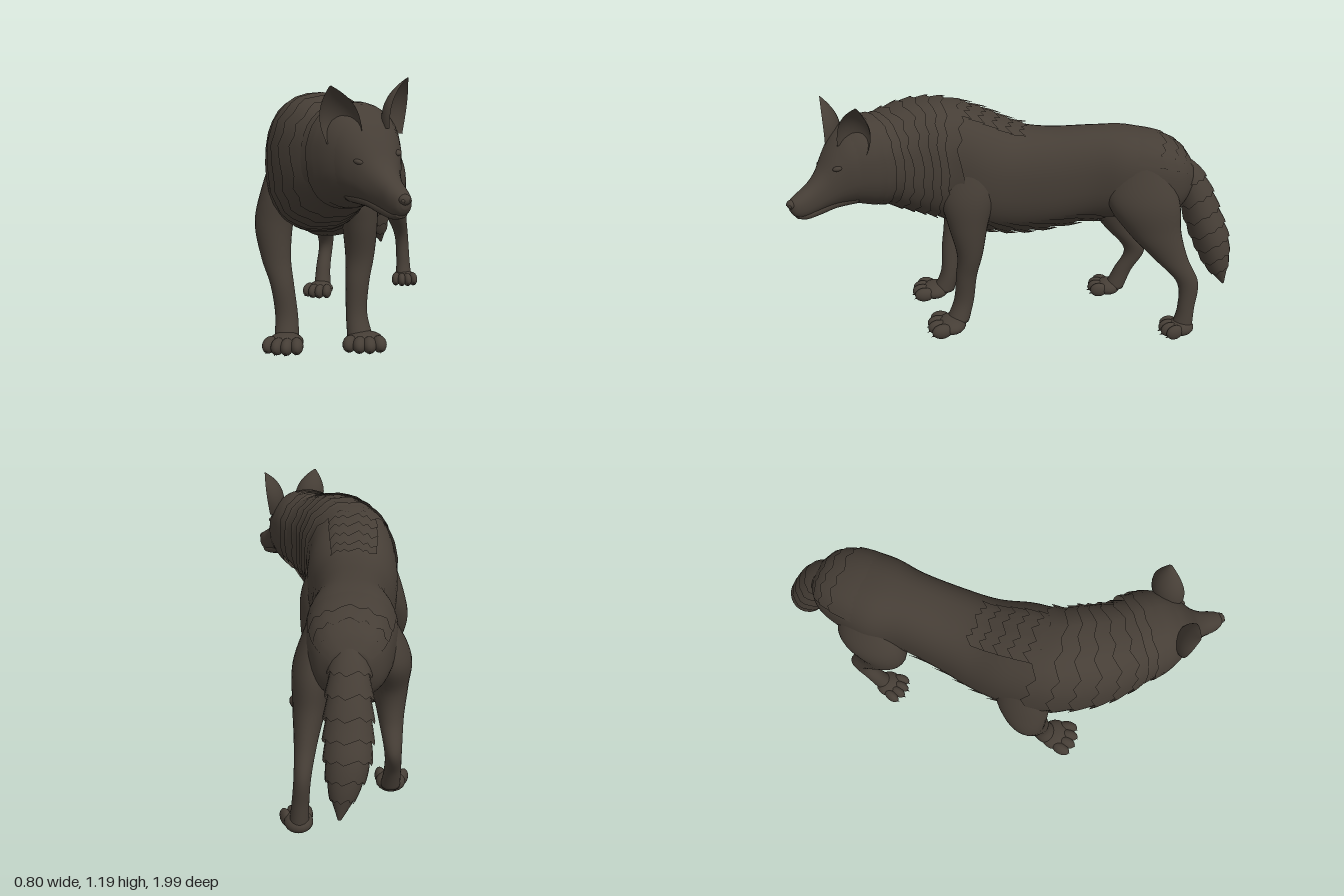
import * as THREE from 'three';

const fur = new THREE.MeshStandardMaterial({ color: 0x463e36, side: THREE.DoubleSide });
fur.name = 'dark brown fur';

function mesh(name, geometry, parent) {
  const m = new THREE.Mesh(geometry, fur);
  m.name = name;
  parent.add(m);
  return m;
}

// Smooth sampler over cross-sections [x, y, z, halfWidth, halfHeight, yaw, pitch]
function sampler(rows, square = 1) {
  const curve = f => new THREE.CatmullRomCurve3(rows.map(r => new THREE.Vector3(...f(r))), false, 'catmullrom', 0.5);
  const pos = curve(r => [r[0], r[1], r[2]]);
  const size = curve(r => [r[3], r[4], 0]);
  const turn = curve(r => [r[5] || 0, r[6] || 0, 0]);
  const bend = v => Math.sign(v) * Math.abs(v) ** square;
  return (t, a, scale = 1) => {
    t = Math.min(1, Math.max(0, t));
    const p = pos.getPoint(t), s = size.getPoint(t), { x: yaw, y: pitch } = turn.getPoint(t);
    const across = new THREE.Vector3(Math.cos(yaw), 0, -Math.sin(yaw));
    const up = new THREE.Vector3(Math.sin(yaw) * Math.sin(pitch), Math.cos(pitch), Math.cos(yaw) * Math.sin(pitch));
    return p.addScaledVector(across, s.x * scale * bend(Math.cos(a)))
      .addScaledVector(up, s.y * scale * bend(Math.sin(a)));
  };
}

// Grid surface from point(k, u); wrap joins the two sides, caps close the ends
function surface(point, steps, seg, wrap, caps) {
  const pos = [], index = [], n = wrap ? seg : seg + 1;
  for (let i = 0; i <= steps; i++)
    for (let j = 0; j < n; j++) pos.push(...point(i / steps, j / seg, j).toArray());
  for (let i = 0; i < steps; i++)
    for (let j = 0; j < seg; j++) {
      const a = i * n + j, b = i * n + (j + 1) % n;
      index.push(a, b, a + n, b, b + n, a + n);
    }
  if (caps) for (const end of [0, steps]) {
    const c = new THREE.Vector3(), id = pos.length / 3;
    for (let j = 0; j < n; j++) c.add(new THREE.Vector3().fromArray(pos, (end * n + j) * 3));
    pos.push(...c.divideScalar(n).toArray());
    for (let j = 0; j < n; j++) {
      const a = end * n + j, b = end * n + (j + 1) % n;
      index.push(id, end ? a : b, end ? b : a);
    }
  }
  const g = new THREE.BufferGeometry();
  g.setAttribute('position', new THREE.Float32BufferAttribute(pos, 3));
  g.setIndex(index);
  g.computeVertexNormals();
  return g;
}

const solid = (at, steps = 40, seg = 28) =>
  surface((k, u) => at(k, u * Math.PI * 2), steps, seg, true, true);

// Layer of fur: tucked in at t0, raised with a ragged edge at t1
function furLayer(at, t0, t1, lift, jag, seg = 32, a0 = 0, a1 = Math.PI * 2) {
  const back = t1 < t0, whole = a1 - a0 > 6.2;
  return surface((k, u, j) => {
    if (back) k = 1 - k;
    const rag = jag * k * (((j * 7) % 5) / 4 - 0.5);
    return at(t0 + (t1 - t0) * k + rag, a0 + (a1 - a0) * u, 0.985 + lift * k);
  }, 4, seg, whole, false);
}

function ball(name, parent, p, s) {
  const m = mesh(name, new THREE.SphereGeometry(1, 18, 12), parent);
  m.position.set(...p);
  m.scale.set(...s);
  return m;
}

function buildPaw(parent, name, x, z, w, len, yaw, y = 0.014) {
  const paw = new THREE.Group();
  paw.name = name;
  paw.position.set(x, y, z);
  paw.rotation.y = yaw;
  ball('pawPad', paw, [0, 0.036, -len * 0.12], [w * 0.84, 0.04, len * 0.8]);
  for (let i = 0; i < 4; i++) {
    const s = (i - 1.5) / 1.5, inner = Math.abs(s) < 0.5 ? 0.016 : 0;
    const toe = ball('toe', paw, [s * w * 0.64, 0.035, len * 0.4 + inner], [w * 0.31, 0.036, len * 0.55]);
    toe.rotation.y = s * 0.2;
    const claw = mesh('claw', new THREE.ConeGeometry(0.008, 0.025, 6), paw);
    claw.position.set(s * w * 0.7, 0.016, len * 0.88 + inner);
    claw.rotation.x = 2;
  }
  parent.add(paw);
}

function buildHead(parent) {
  const head = new THREE.Group();
  head.name = 'head';
  head.position.set(0.385, 0, 0.985);
  head.rotation.y = 0.72;
  // distance behind the nose, half width, bottom, top
  const at = sampler([
    [0.46, 0.16, 0.71, 1.06], [0.38, 0.168, 0.71, 1.08], [0.31, 0.158, 0.72, 1.075],
    [0.25, 0.134, 0.73, 1.04], [0.2, 0.102, 0.732, 0.98], [0.15, 0.072, 0.725, 0.902],
    [0.1, 0.054, 0.714, 0.853], [0.05, 0.046, 0.708, 0.822], [0.015, 0.034, 0.722, 0.802], [0, 0.018, 0.745, 0.787],
  ].map(([d, w, b, t]) => [0, (b + t) / 2, -d, w, (t - b) / 2]), 0.88);
  mesh('skull', solid(at), head);
  mesh('lowerJaw', solid(sampler([
    [0, 0.765, -0.28, 0.1, 0.04], [0, 0.75, -0.19, 0.066, 0.03], [0, 0.73, -0.12, 0.048, 0.026],
    [0, 0.72, -0.06, 0.039, 0.022], [0, 0.724, -0.025, 0.023, 0.016],
  ], 0.88)), head);
  ball('nose', head, [0, 0.777, -0.007], [0.025, 0.02, 0.02]);
  // Ruff framing the face
  for (let i = 0; i < 3; i++) mesh('cheekRuff', furLayer(at, 0.32 - i * 0.09, 0.12 - i * 0.06, 0.12 + i * 0.05, 0.015), head);
  for (const s of [1, -1]) {
    const y = s * 0.012;
    const eye = ball('eye', head, [s * 0.083, 0.908 + y, -0.194], [0.021, 0.011, 0.014]);
    eye.rotation.set(0, s * 0.9, s * 0.2);
    ball('nostril', head, [s * 0.014, 0.775, 0.005], [0.007, 0.007, 0.007]);
    // Cupped ear, open to the front and outside
    const ear = mesh('ear', surface((v, u) => {
      const w = 0.07 * (1 - v ** 3.4) * (0.92 + 0.6 * v * (1 - v)) + 0.003, a = (u * 2 - 1) * 1.5;
      return new THREE.Vector3(w * Math.sin(a), v * 0.205, -0.85 * w * Math.cos(a) + 0.025 * v * v);
    }, 16, 14, false, false), head);
    ear.position.set(s * 0.112, 0.982 + y, -0.25);
    ear.rotation.set(0, s * 0.65, -s * 0.23);
  }
  parent.add(head);
}

export function createModel() {
  const wolf = new THREE.Group();
  wolf.name = 'wolf';

  // Trunk and neck: x, z, half width, bottom, top, yaw
  const body = sampler([
    [-0.12, -0.77, 0.075, 0.68, 0.815, 0], [-0.12, -0.71, 0.14, 0.6, 0.893, 0], [-0.12, -0.6, 0.178, 0.57, 0.95, 0],
    [-0.125, -0.45, 0.192, 0.55, 0.98, 0], [-0.12, -0.3, 0.168, 0.54, 0.98, 0], [-0.12, -0.1, 0.178, 0.495, 0.968, 0],
    [-0.125, 0.05, 0.196, 0.475, 0.98, 0], [-0.12, 0.2, 0.216, 0.49, 1.04, 0.03], [-0.11, 0.35, 0.212, 0.53, 1.09, 0.15],
    [-0.07, 0.45, 0.21, 0.56, 1.11, 0.35], [-0.02, 0.54, 0.2, 0.6, 1.11, 0.55],
    [0.05, 0.62, 0.185, 0.65, 1.09, 0.7], [0.12, 0.69, 0.168, 0.7, 1.065, 0.72],
  ].map(([x, z, w, b, t, yaw]) => [x, (b + t) / 2, z, w, (t - b) / 2, yaw]), 0.85);
  mesh('trunk', solid(body, 72, 40), wolf);

  // Mane collars, withers, belly and rump fur
  for (let i = 0; i < 6; i++) mesh('maneCollar', furLayer(body, 0.98 - i * 0.052, 0.905 - i * 0.053, 0.065, 0.022), wolf);
  for (let i = 0; i < 5; i++) mesh('withersFur', furLayer(body, 0.7 - i * 0.035, 0.62 - i * 0.035, 0.07, 0.02, 12, 1.1, 2.05), wolf);
  for (let i = 0; i < 6; i++) mesh('bellyFur', furLayer(body, 0.64 - i * 0.05, 0.56 - i * 0.05, 0.11, 0.03, 16, 3.8, 5.6), wolf);
  for (let i = 0; i < 4; i++) mesh('rumpFur', furLayer(body, 0.24 - i * 0.045, 0.15 - i * 0.045, 0.06, 0.02, 14, 0.4, 2.74), wolf);

  buildHead(wolf);

  // Legs from top to bottom: x, y, z, half width, half depth
  const legs = {
    frontLeftLeg: [[0.01, 0.88, 0.25, 0.06, 0.1], [0.045, 0.7, 0.265, 0.085, 0.125], [0.058, 0.55, 0.265, 0.078, 0.092],
      [0.057, 0.4, 0.26, 0.064, 0.061], [0.051, 0.28, 0.28, 0.052, 0.05], [0.05, 0.15, 0.295, 0.047, 0.048], [0.072, 0.05, 0.325, 0.056, 0.056]],
    frontRightLeg: [[-0.25, 0.88, 0.28, 0.06, 0.1], [-0.285, 0.7, 0.3, 0.085, 0.125], [-0.312, 0.55, 0.335, 0.084, 0.095],
      [-0.295, 0.4, 0.37, 0.066, 0.06], [-0.262, 0.28, 0.39, 0.052, 0.05], [-0.241, 0.15, 0.4, 0.05, 0.046], [-0.23, 0.05, 0.435, 0.054, 0.056]],
    hindLeftLeg: [[0.0, 0.86, -0.52, 0.05, 0.1], [0.023, 0.68, -0.54, 0.09, 0.165], [0.04, 0.53, -0.597, 0.073, 0.125],
      [0.053, 0.4, -0.68, 0.05, 0.08], [0.063, 0.28, -0.765, 0.036, 0.05], [0.073, 0.15, -0.765, 0.036, 0.04], [0.08, 0.05, -0.75, 0.042, 0.05]],
    hindRightLeg: [[-0.24, 0.86, -0.47, 0.05, 0.1], [-0.278, 0.68, -0.443, 0.095, 0.16], [-0.288, 0.53, -0.41, 0.08, 0.122],
      [-0.295, 0.4, -0.457, 0.056, 0.077], [-0.306, 0.27, -0.537, 0.037, 0.052], [-0.308, 0.15, -0.483, 0.037, 0.045], [-0.302, 0.05, -0.44, 0.043, 0.05]],
  };
  for (const [name, rows] of Object.entries(legs))
    mesh(name, solid(sampler(rows.map(r => [...r, 0, Math.PI / 2]))), wolf);
  buildPaw(wolf, 'frontLeftPaw', 0.103, 0.365, 0.1, 0.09, 0.2, 0.004);
  buildPaw(wolf, 'frontRightPaw', -0.22, 0.49, 0.092, 0.09, 0.05);
  buildPaw(wolf, 'hindLeftPaw', 0.085, -0.735, 0.072, 0.08, 0.25);
  buildPaw(wolf, 'hindRightPaw', -0.305, -0.4, 0.078, 0.08, -0.1);

  // Bushy tail with overlapping layers
  const tail = sampler([
    [-0.12, 0.855, -0.66, 0.055, 0.05], [-0.12, 0.76, -0.745, 0.072, 0.063], [-0.12, 0.64, -0.8, 0.083, 0.077],
    [-0.12, 0.52, -0.847, 0.088, 0.08], [-0.118, 0.41, -0.893, 0.082, 0.077], [-0.105, 0.3, -0.928, 0.053, 0.053], [-0.09, 0.2, -0.96, 0.006, 0.006],
  ].map(r => [...r, 0, 2.05]));
  mesh('tail', solid(tail, 32, 20), wolf);
  for (let i = 0; i < 7; i++) mesh('tailFur', furLayer(tail, 0.08 + i * 0.11, 0.22 + i * 0.11, 0.18, 0.03, 22), wolf);

  return wolf;
}
